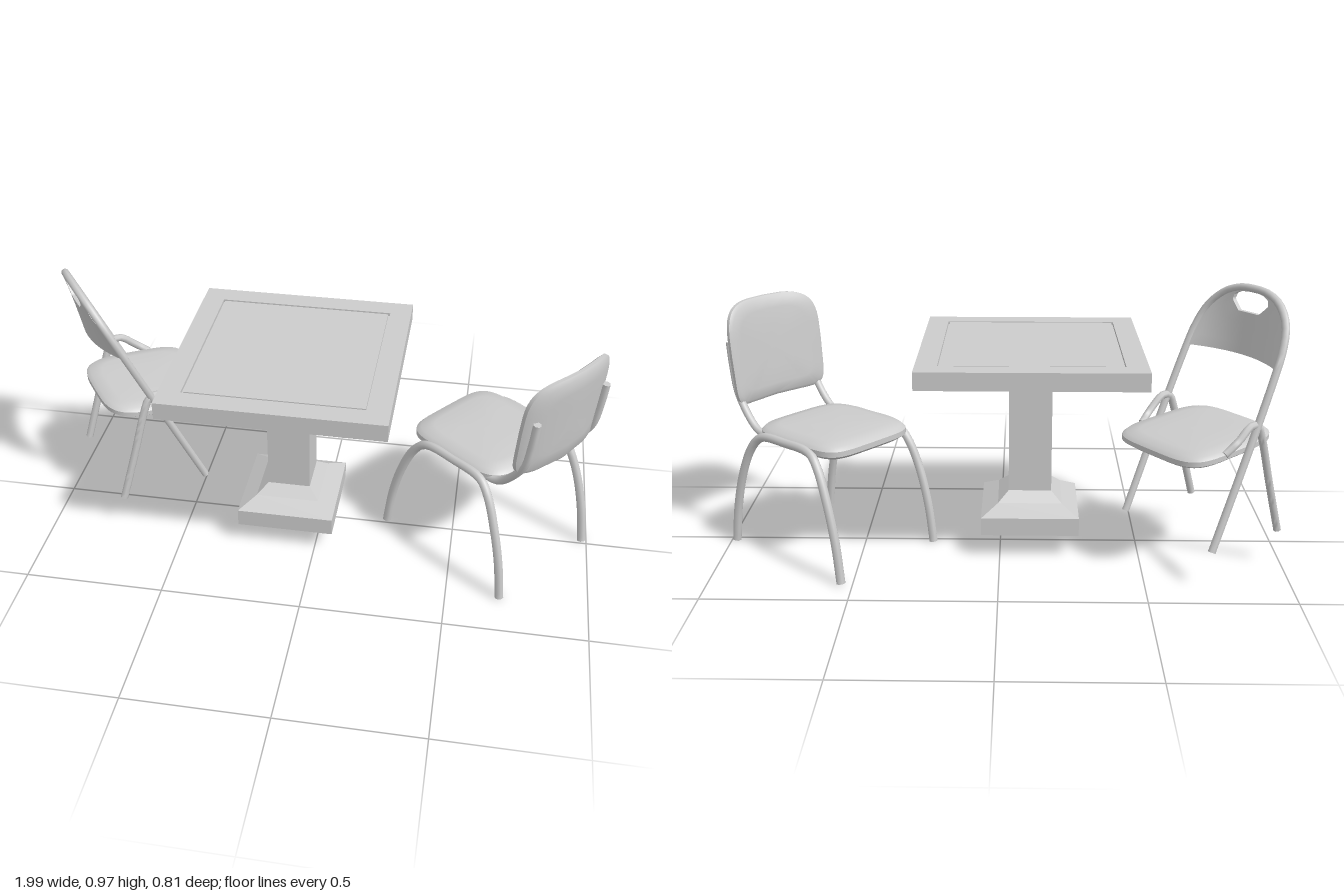
import * as THREE from 'three';
import { toCreasedNormals } from 'three/addons/utils/BufferGeometryUtils.js';

const material = new THREE.MeshStandardMaterial({ color: 0xcccccc });
const V = (x, y, z) => new THREE.Vector3(x, y, z);

function add(parent, name, geometry) {
  const mesh = new THREE.Mesh(geometry, material);
  mesh.name = name;
  parent.add(mesh);
  return mesh;
}

// Skin a list of equally sized closed loops of points
function loft(loops, crease = 0.7) {
  const n = loops[0].length, pos = [];
  const tri = (a, b, c) => {
    if (a.distanceTo(b) > 1e-6 && b.distanceTo(c) > 1e-6 && c.distanceTo(a) > 1e-6)
      pos.push(...a, ...b, ...c);
  };
  for (let j = 0; j < loops.length - 1; j++) {
    for (let i = 0; i < n; i++) {
      const k = (i + 1) % n;
      const a = loops[j][i], b = loops[j][k], c = loops[j + 1][k], d = loops[j + 1][i];
      tri(a, b, c);
      tri(a, c, d);
    }
  }
  const g = new THREE.BufferGeometry();
  g.setAttribute('position', new THREE.Float32BufferAttribute(pos, 3));
  return toCreasedNormals(g, crease);
}

// Capped round bar along a smooth path
function bar(points, r = 0.014, steps = 24, sides = 8) {
  const path = new THREE.CatmullRomCurve3(points, false, 'centripetal');
  const f = path.computeFrenetFrames(steps, false);
  const ring = (i, radius) => Array.from({ length: sides }, (_, k) => {
    const a = (k + 0.5) / sides * Math.PI * 2;
    return path.getPointAt(i / steps)
      .addScaledVector(f.normals[i], Math.cos(a) * radius)
      .addScaledVector(f.binormals[i], Math.sin(a) * radius);
  });
  const loops = [ring(0, 0)];
  for (let i = 0; i <= steps; i++) loops.push(ring(i, r));
  loops.push(ring(steps, 0));
  return loft(loops, 0.9);
}

// Rounded cushion: superellipse outline, half thickness h, placed by a rule
function cushion(a, b, h, powTop, powBottom, place) {
  const rings = [[0, -1], [0.35, -1], [0.65, -1], [0.92, -0.9], [1, -0.4], [1, 0.3],
    [0.94, 0.8], [0.75, 1.05], [0.4, 1.15], [0, 1.2]];
  return loft(rings.map(([k, t]) => Array.from({ length: 48 }, (_, i) => {
    const ang = i / 48 * Math.PI * 2, c = Math.cos(ang), s = Math.sin(ang);
    const e = 2 / (s >= 0 ? powTop : powBottom);
    return place(k * a * Math.sign(c) * Math.abs(c) ** e, k * b * Math.sign(s) * Math.abs(s) ** e, t * h);
  })));
}

function createTable() {
  const table = new THREE.Group();
  table.name = 'table';
  const half = 0.388;

  const slab = add(table, 'tableTop', new THREE.BoxGeometry(2 * half, 0.052, 2 * half));
  slab.position.y = 0.716;

  // Raised border and centre panel leave a thin groove between them
  const square = (s, Type) => new Type([[-s, -s], [s, -s], [s, s], [-s, s]].map(p => new THREE.Vector2(...p)));
  const border = square(half, THREE.Shape);
  border.holes.push(square(0.312, THREE.Path));
  const rim = add(table, 'tableBorder', new THREE.ExtrudeGeometry(border, { depth: 0.011, bevelEnabled: false }));
  rim.rotation.x = -Math.PI / 2;
  rim.position.y = 0.742;
  const inset = add(table, 'tablePanel', new THREE.BoxGeometry(0.61, 0.01, 0.61));
  inset.position.y = 0.747;

  // Four-sided turned profiles
  const pillar = profile => {
    const pts = profile.map(([r, y]) => new THREE.Vector2(r * Math.SQRT2, y));
    return toCreasedNormals(new THREE.LatheGeometry(pts, 4).rotateY(Math.PI / 4), 0.1);
  };
  add(table, 'pedestal', pillar([[0, 0.085], [0.175, 0.085], [0.175, 0.15], [0.115, 0.185],
    [0.077, 0.22], [0.077, 0.62], [0.092, 0.645], [0.114, 0.684]]));
  add(table, 'tableUnderside', pillar([[0, 0.681], [0.28, 0.683], [0.375, 0.691]]));
  return table;
}

function createFoldingChair() {
  const chair = new THREE.Group();
  chair.name = 'foldingChair';
  const lean = y => 0.16 - 0.44 * (y - 0.13);

  // Front legs run up into the arched back
  const halfArch = [[0.222, 0.13], [0.222, 0.45], [0.217, 0.7], [0.21, 0.79], [0.185, 0.865], [0.13, 0.921], [0.065, 0.947]];
  const arch = [...halfArch, [0, 0.952], ...halfArch.map(([x, y]) => [-x, y]).reverse()];
  add(chair, 'frontLegsAndBackArch', bar(arch.map(([x, y]) => V(x, y, lean(y))), 0.014, 70));

  // Back legs bend over and meet the seat
  for (const side of [-1, 1]) {
    const x = 0.217 * side;
    add(chair, 'backLeg', bar([V(x, 0.13, -0.165), V(x, 0.32, -0.105), V(x, 0.5, -0.05), V(x, 0.54, -0.03),
      V(x, 0.548, 0.005), V(x, 0.505, 0.06), V(x * 0.95, 0.465, 0.11)], 0.014, 32));
  }

  add(chair, 'seat', cushion(0.208, 0.212, 0.024, 4, 4.5, (u, v, h) => {
    const z = 0.042 - v;
    return V(u * (1 + 0.1 * z), 0.468 - 0.09 * z + h, z);
  }));

  // Bowed back panel, lofted between its outline and the hand hole
  const outline = (start, right) => {
    const s = new THREE.Shape();
    s.moveTo(0, start);
    right.forEach(p => s.lineTo(...p));
    [...right].reverse().forEach(([x, y]) => s.lineTo(-x, y));
    s.lineTo(0, start);
    return s.getSpacedPoints(96).slice(0, 96);
  };
  const outer = outline(0.725, [[0.214, 0.725], [0.21, 0.79], [0.185, 0.865], [0.13, 0.921], [0.065, 0.947], [0.02, 0.952]]);
  const hole = outline(0.87, [[0.047, 0.87], [0.083, 0.905], [0.078, 0.925], [0.05, 0.938], [0.015, 0.942]]);
  const ring = (t, depth) => outer.map((p, i) => {
    const q = p.clone().lerp(hole[i], t);
    const bow = 0.06 * (1 - (q.x / 0.215) ** 2) * Math.max(0, (0.95 - q.y) / 0.225);
    return V(q.x, q.y, lean(q.y) - bow + depth);
  });
  const d = 0.008, spans = [1, 0.75, 0.5, 0.25, 0];
  add(chair, 'backPanel', loft([...spans.map(t => ring(t, -d)), ...[...spans].reverse().map(t => ring(t, d)), ring(1, -d)]));
  return chair;
}

function createPaddedChair() {
  const chair = new THREE.Group();
  chair.name = 'paddedChair';

  // Each side frame is one arch forming a front and a back leg
  const leg = [[0.231, 0.003, 0.285], [0.229, 0.15, 0.262], [0.225, 0.29, 0.222], [0.216, 0.39, 0.175], [0.208, 0.432, 0.13]];
  for (const side of [-1, 1]) {
    const front = leg.map(([x, y, z]) => V(x * side, y, z));
    const back = leg.map(([x, y, z]) => V(x * side, y, -z)).reverse();
    add(chair, 'sideLegFrame', bar([...front, V(0.205 * side, 0.44, 0), ...back], 0.016, 56));
    const x = 0.178 * side;
    add(chair, 'backSupport', bar([V(x, 0.432, -0.08), V(x, 0.436, -0.17), V(x, 0.465, -0.215),
      V(x, 0.56, -0.283), V(x, 0.65, -0.303), V(x, 0.745, -0.314)], 0.014, 32));
  }

  add(chair, 'seat', cushion(0.205, 0.215, 0.027, 4.5, 5, (u, v, h) => {
    const z = 0.02 - v;
    return V(u, 0.442 + h - 0.03 * Math.max(0, z - 0.1), z);
  }));

  // Curved, slightly reclined backrest
  add(chair, 'backrest', cushion(0.207, 0.185, 0.019, 4, 8, (u, v, h) =>
    V(u * (1 - 0.1 * Math.max(0, -v)), 0.7 + v, -0.272 - 0.04 * (1 - (u / 0.207) ** 2) - 0.1 * v + h)));
  return chair;
}

export function createModel() {
  const model = new THREE.Group();
  model.name = 'tableAndChairs';

  const table = createTable();
  table.position.set(-0.108, 0, 0.023);

  const folding = createFoldingChair();
  folding.position.set(-0.72, 0, -0.105);
  folding.rotation.y = THREE.MathUtils.degToRad(126);

  const padded = createPaddedChair();
  padded.position.set(0.615, 0, -0.02);
  padded.rotation.y = THREE.MathUtils.degToRad(-129.2);

  model.add(table, folding, padded);
  return model;
}
